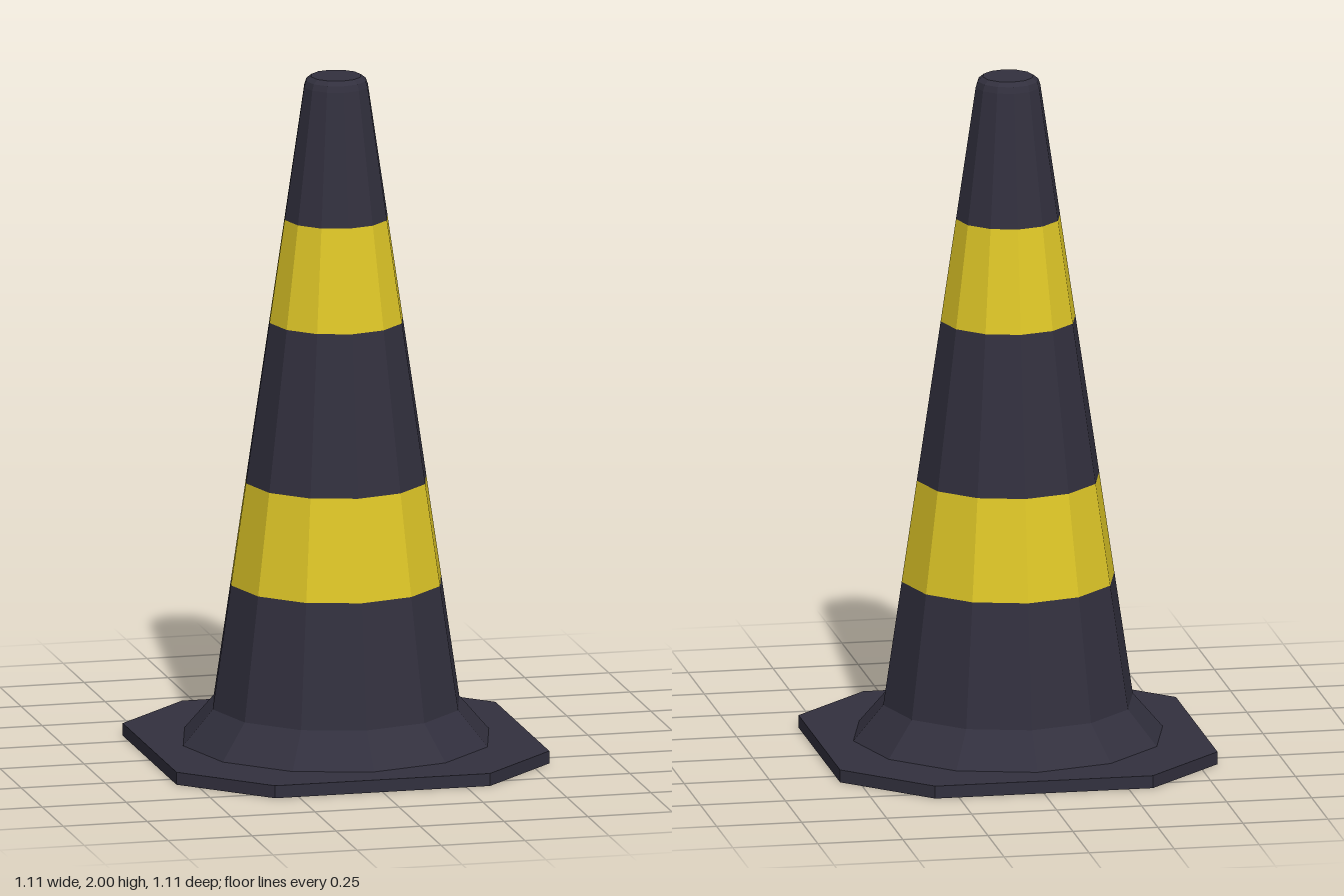
import * as THREE from 'three';

const SIDES = 12;
const rubber = new THREE.MeshStandardMaterial({ color: 0x32303e });
rubber.name = 'dark rubber';
const yellow = new THREE.MeshStandardMaterial({ color: 0xdfc727 });
yellow.name = 'yellow band';

// Gives every facet its own flat normal
function faceted(geometry) {
  const flat = geometry.index ? geometry.toNonIndexed() : geometry;
  flat.computeVertexNormals();
  return flat;
}

// Twelve-sided surface; a profile going up faces out, going down faces in
function ring(name, profile, material) {
  const points = profile.map(([r, y]) => new THREE.Vector2(r, y));
  const mesh = new THREE.Mesh(faceted(new THREE.LatheGeometry(points, SIDES)), material);
  mesh.name = name;
  return mesh;
}

// Radius of the tapering wall at a given height
const wallRadius = (y) => 0.367 - (y - 0.14) * 0.1486;

export function createModel() {
  const group = new THREE.Group();
  group.name = 'trafficCone';

  // Octagonal base plate with an opening under the cone
  const a = 0.32, b = 0.555, thickness = 0.037, holeRadius = 0.32;
  const outline = [[a, -b], [b, -a], [b, a], [a, b], [-a, b], [-b, a], [-b, -a], [-a, -b]];
  const shape = new THREE.Shape(outline.map(([x, y]) => new THREE.Vector2(x, y)));
  const hole = [];
  for (let i = 0; i < SIDES; i++) {
    const t = (i / SIDES) * Math.PI * 2;
    hole.push(new THREE.Vector2(Math.cos(t) * holeRadius, Math.sin(t) * holeRadius));
  }
  shape.holes.push(new THREE.Path(hole));
  const plate = new THREE.ExtrudeGeometry(shape, { depth: thickness, bevelEnabled: false });
  plate.rotateX(-Math.PI / 2);
  const base = new THREE.Mesh(faceted(plate), rubber);
  base.name = 'basePlate';
  group.add(base);

  // Flared foot
  group.add(ring('foot', [[0.455, thickness], [0.367, 0.14]], rubber));

  // Wall sections, alternating rubber and yellow
  const levels = [0.14, 0.505, 0.805, 1.277, 1.58, 1.97];
  for (let i = 0; i < levels.length - 1; i++) {
    const [low, high] = [levels[i], levels[i + 1]];
    const banded = i % 2 === 1;
    group.add(ring(banded ? 'yellowBand' : 'coneWall',
      [[wallRadius(low), low], [wallRadius(high), high]], banded ? yellow : rubber));
  }

  // Bevelled tip with a flat cap
  group.add(ring('tip', [[wallRadius(1.97), 1.97], [0.089, 1.988], [0.074, 2], [0, 2]], rubber));

  // Hollow inside, closed near the top
  group.add(ring('innerWall', [[0, 1.95], [0.06, 1.95], [holeRadius, thickness]], rubber));

  return group;
}
